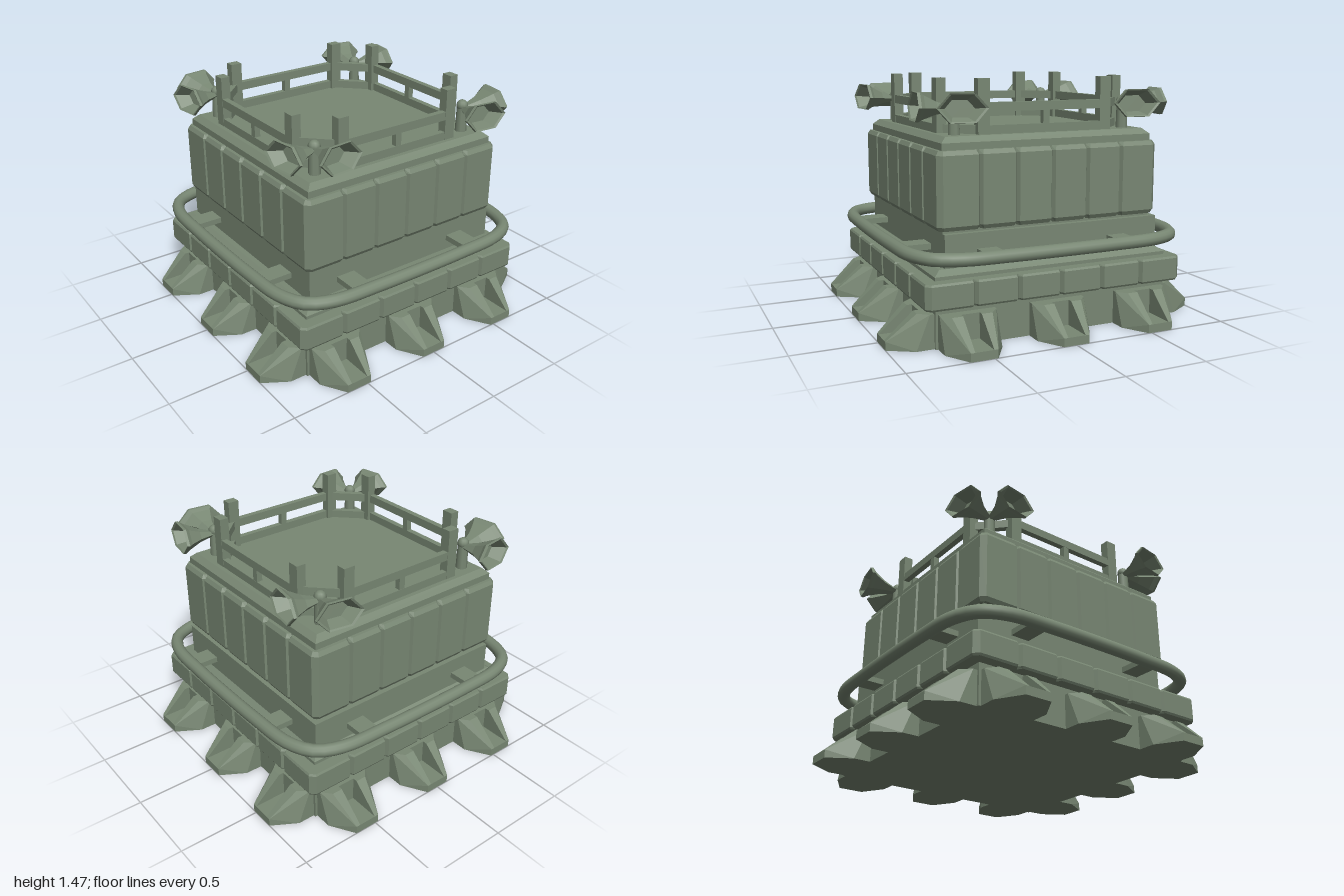
import * as THREE from 'three';
import { ConvexGeometry } from 'three/addons/geometries/ConvexGeometry.js';

const sage = new THREE.MeshStandardMaterial({ color: 0x788773, side: THREE.DoubleSide });
sage.name = 'sage green';

// Gives a geometry hard, faceted edges
function faceted(g) {
  const f = g.index ? g.toNonIndexed() : g;
  f.computeVertexNormals();
  return f;
}

function add(parent, name, geometry) {
  const mesh = new THREE.Mesh(geometry, sage);
  mesh.name = name;
  parent.add(mesh);
  return mesh;
}

function box(parent, name, w, h, d, x, y, z) {
  return add(parent, name, new THREE.BoxGeometry(w, h, d).translate(x, y, z));
}

// Square slab whose half width may change from bottom to top
function slab(parent, name, half0, half1, y0, y1) {
  const g = new THREE.CylinderGeometry(half1 * Math.SQRT2, half0 * Math.SQRT2, y1 - y0, 4);
  g.rotateY(Math.PI / 4).translate(0, (y0 + y1) / 2, 0);
  return add(parent, name, faceted(g));
}

// Square band with cut corners and V grooves between its panels
function panelBand(parent, name, half, pitch, cut, groove, bevel, y0, y1) {
  const pts = [];
  for (let side = 0; side < 4; side++) {
    const a = side * Math.PI / 2;
    const put = (u, v) => pts.push(new THREE.Vector2(
      u * Math.cos(a) - v * Math.sin(a), u * Math.sin(a) + v * Math.cos(a)));
    put(-half + cut, -half);
    for (let i = -2; i <= 2; i++) {
      put(i * pitch - groove * 0.6, -half);
      put(i * pitch, -half + groove);
      put(i * pitch + groove * 0.6, -half);
    }
    put(half - cut, -half);
  }
  const g = new THREE.ExtrudeGeometry(new THREE.Shape(pts), {
    depth: y1 - y0 - 2 * bevel, bevelEnabled: true, bevelThickness: bevel,
    bevelSize: bevel * 0.6, bevelOffset: -bevel * 0.6, bevelSegments: 1,
  });
  g.rotateX(-Math.PI / 2).translate(0, y0 + bevel, 0);
  return add(parent, name, faceted(g));
}

const octagon = (h, c) => [[c, h], [-c, h], [-h, c], [-h, -c], [-c, -h], [c, -h], [h, -c], [h, c]]
  .map(([x, y]) => new THREE.Vector2(x, y));

// Eight-sided rail running around the roof
function octagonRail(parent, name, y0, y1) {
  const shape = new THREE.Shape(octagon(0.607, 0.392));
  shape.holes.push(new THREE.Path(octagon(0.57, 0.375)));
  const g = new THREE.ExtrudeGeometry(shape, { depth: y1 - y0, bevelEnabled: false });
  add(parent, name, g.rotateX(-Math.PI / 2).translate(0, y0, 0));
}

// Buttress foot: two sloping cheeks with a pocket between them
function makeFoot() {
  const foot = new THREE.Group();
  foot.name = 'foot';
  for (const s of [-1, 1]) {
    const pts = [
      [0.055, 0, 0.72], [0.17, 0, 0.72], [0.17, 0, 0.85], [0.08, 0, 1], [0.055, 0, 1],
      [0.055, 0.2, 0.72], [0.17, 0.2, 0.72], [0.17, 0.2, 0.77], [0.12, 0.2, 0.83],
      [0.055, 0.2, 0.83], [0.08, 0.05, 1], [0.055, 0.05, 1],
    ].map(([x, y, z]) => new THREE.Vector3(s * x, y, z));
    add(foot, 'footCheek', faceted(new ConvexGeometry(pts)));
  }
  box(foot, 'footSill', 0.11, 0.05, 0.28, 0, 0.025, 0.86);
  box(foot, 'footPocketBack', 0.11, 0.2, 0.08, 0, 0.1, 0.76);
  return foot;
}

// Six-sided flared loudspeaker horn, opening along +z
function makeHorn() {
  const profile = [[0.02, 0], [0.035, 0.04], [0.065, 0.11], [0.12, 0.19], [0.146, 0.215],
    [0.143, 0.232], [0.128, 0.225], [0.085, 0.15], [0, 0.15]]
    .map(([r, y]) => new THREE.Vector2(r, y));
  const g = new THREE.LatheGeometry(profile, 6);
  g.rotateY(Math.PI / 6).rotateX(Math.PI / 2).scale(1, 0.64, 1);
  return faceted(g);
}

export function createModel() {
  const model = new THREE.Group();
  model.name = 'bunkerTower';

  // Stepped body
  slab(model, 'base', 0.745, 0.745, 0, 0.25);
  panelBand(model, 'lowerPanelBand', 0.82, 0.266, 0.03, 0.026, 0.012, 0.24, 0.39);
  slab(model, 'ledge', 0.745, 0.745, 0.38, 0.41);
  slab(model, 'ledgeBevel', 0.745, 0.705, 0.41, 0.44);
  box(model, 'neck', 1.375, 0.2, 1.375, 0.0175, 0.53, -0.0175);
  slab(model, 'core', 0.67, 0.67, 0.6, 1.13);
  panelBand(model, 'upperPanelBand', 0.705, 0.226, 0.03, 0.022, 0.025, 0.645, 1.09);
  slab(model, 'roofBevel', 0.67, 0.635, 1.13, 1.162);

  // Feet and ring brackets, repeated on the four sides
  for (let side = 0; side < 4; side++) {
    const group = new THREE.Group();
    group.name = 'side';
    group.rotation.y = side * Math.PI / 2;
    for (const x of [-0.56, 0, 0.56]) {
      const foot = makeFoot();
      foot.position.x = x;
      group.add(foot);
    }
    for (const x of [-0.42, 0.42]) {
      box(group, 'ringBracket', 0.12, 0.035, 0.22, x, 0.52, 0.75);
    }
    // Roof railing posts
    for (const s of [-1, 1]) {
      box(group, 'railPost', 0.072, 0.315, 0.058, s * 0.392, 1.317, 0.58);
    }
    box(group, 'railMidPost', 0.04, 0.09, 0.036, 0, 1.25, 0.588);
    model.add(group);
  }

  // Bumper ring
  const ringPts = [];
  for (let q = 0; q < 4; q++) {
    const c = Math.cos(q * Math.PI / 2), s = Math.sin(q * Math.PI / 2);
    for (const [x, z] of [[0.862, 0], [0.858, 0.32], [0.842, 0.6], [0.79, 0.735],
      [0.735, 0.79], [0.6, 0.842], [0.32, 0.858]]) {
      ringPts.push(new THREE.Vector3(x * c - z * s, 0.518, x * s + z * c));
    }
  }
  const ringCurve = new THREE.CatmullRomCurve3(ringPts, true, 'centripetal');
  add(model, 'bumperRing', new THREE.TubeGeometry(ringCurve, 112, 0.039, 12, true));

  // Roof railing
  octagonRail(model, 'railCurb', 1.155, 1.212);
  octagonRail(model, 'topRail', 1.288, 1.34);

  // Corner loudspeakers: a pole with two horns
  const hornGeometry = makeHorn();
  for (const sx of [-1, 1]) {
    for (const sz of [-1, 1]) {
      const corner = new THREE.Group();
      corner.name = 'loudspeakers';
      corner.position.set(sx * 0.545, 0, sz * 0.548);
      add(corner, 'speakerPole', new THREE.CylinderGeometry(0.032, 0.036, 0.17, 8).translate(0, 1.235, 0));
      add(corner, 'speakerJoint', new THREE.SphereGeometry(0.036, 10, 8).translate(0, 1.325, 0));
      const back = sz < 0;
      const directions = [
        [sx * (back ? 0.16 : -0.1), sz],
        [sx, sz * (back ? -0.15 : 0.15)],
      ];
      for (const [dx, dz] of directions) {
        const horn = add(corner, 'horn', hornGeometry);
        horn.rotation.set(-0.08, Math.atan2(dx, dz), 0, 'YXZ');
        horn.position.set(0, 1.305, 0);
      }
      model.add(corner);
    }
  }
  return model;
}
